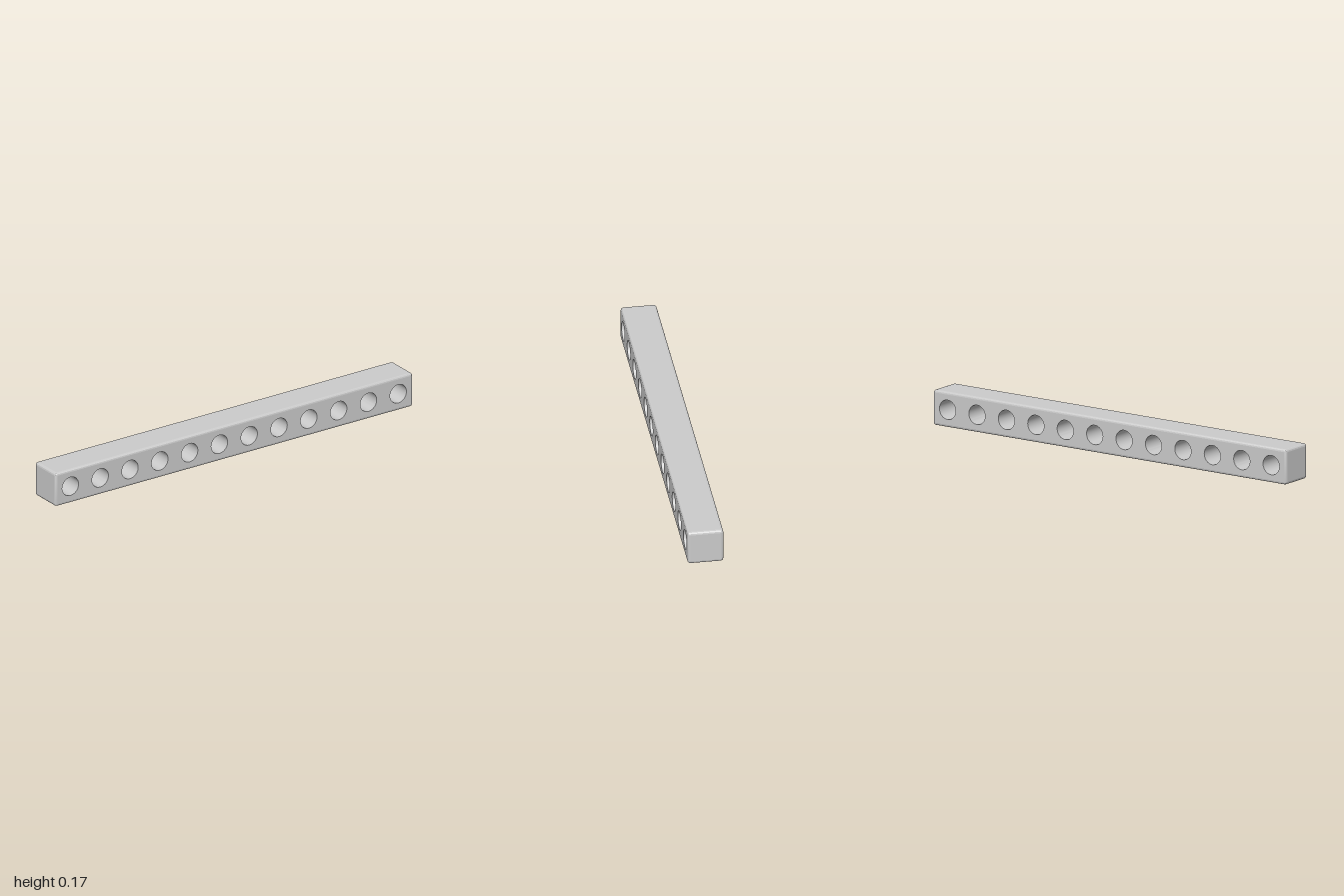
import * as THREE from 'three';
import { toCreasedNormals } from 'three/addons/utils/BufferGeometryUtils.js';

const COUNT = 12;            // holes along the beam
const PITCH = 2 / COUNT;     // spacing, also height and depth
const HALF = PITCH / 2;
const HOLE_R = 0.046;
const EDGE = 0.012;          // edge rounding
const CORNER = 0.013;        // outline corner radius

const holeX = i => (i + 0.5) * PITCH - 1;

// Rounded rectangle with a few segments per corner
function outline() {
  const pts = [];
  [[1, 1], [-1, 1], [-1, -1], [1, -1]].forEach(([sx, sy], q) => {
    for (let k = 0; k <= 3; k++) {
      const a = (q + k / 3) * Math.PI / 2;
      pts.push(new THREE.Vector2(
        sx * (1 - CORNER) + CORNER * Math.cos(a),
        sy * (HALF - CORNER) + CORNER * Math.sin(a)));
    }
  });
  return new THREE.Shape(pts);
}

function beamGeometry() {
  const shape = outline();
  for (let i = 0; i < COUNT; i++) {
    shape.holes.push(new THREE.Path().absarc(holeX(i), 0, HOLE_R, 0, Math.PI * 2, true));
  }
  const depth = PITCH - 2 * EDGE;
  const geo = new THREE.ExtrudeGeometry(shape, {
    depth, curveSegments: 16,
    bevelEnabled: true, bevelSize: EDGE, bevelThickness: EDGE, bevelOffset: -EDGE, bevelSegments: 3,
  });
  geo.translate(0, 0, -depth / 2);

  // Keep the hole walls straight: only the outer edges stay rounded
  const p = geo.attributes.position;
  for (let v = 0; v < p.count; v++) {
    const i = THREE.MathUtils.clamp(Math.floor((p.getX(v) + 1) / PITCH), 0, COUNT - 1);
    const dx = p.getX(v) - holeX(i), dy = p.getY(v);
    const r = Math.hypot(dx, dy);
    if (r < 0.065) p.setXY(v, holeX(i) + dx * HOLE_R / r, dy * HOLE_R / r);
  }
  geo.translate(0, HALF, 0);
  return toCreasedNormals(geo, 0.24);
}

export function createModel() {
  const group = new THREE.Group();
  group.name = 'perforatedBeam';
  const beam = new THREE.Mesh(beamGeometry(), new THREE.MeshStandardMaterial({ color: 0xcccccc }));
  beam.name = 'beam';
  group.add(beam);
  return group;
}
